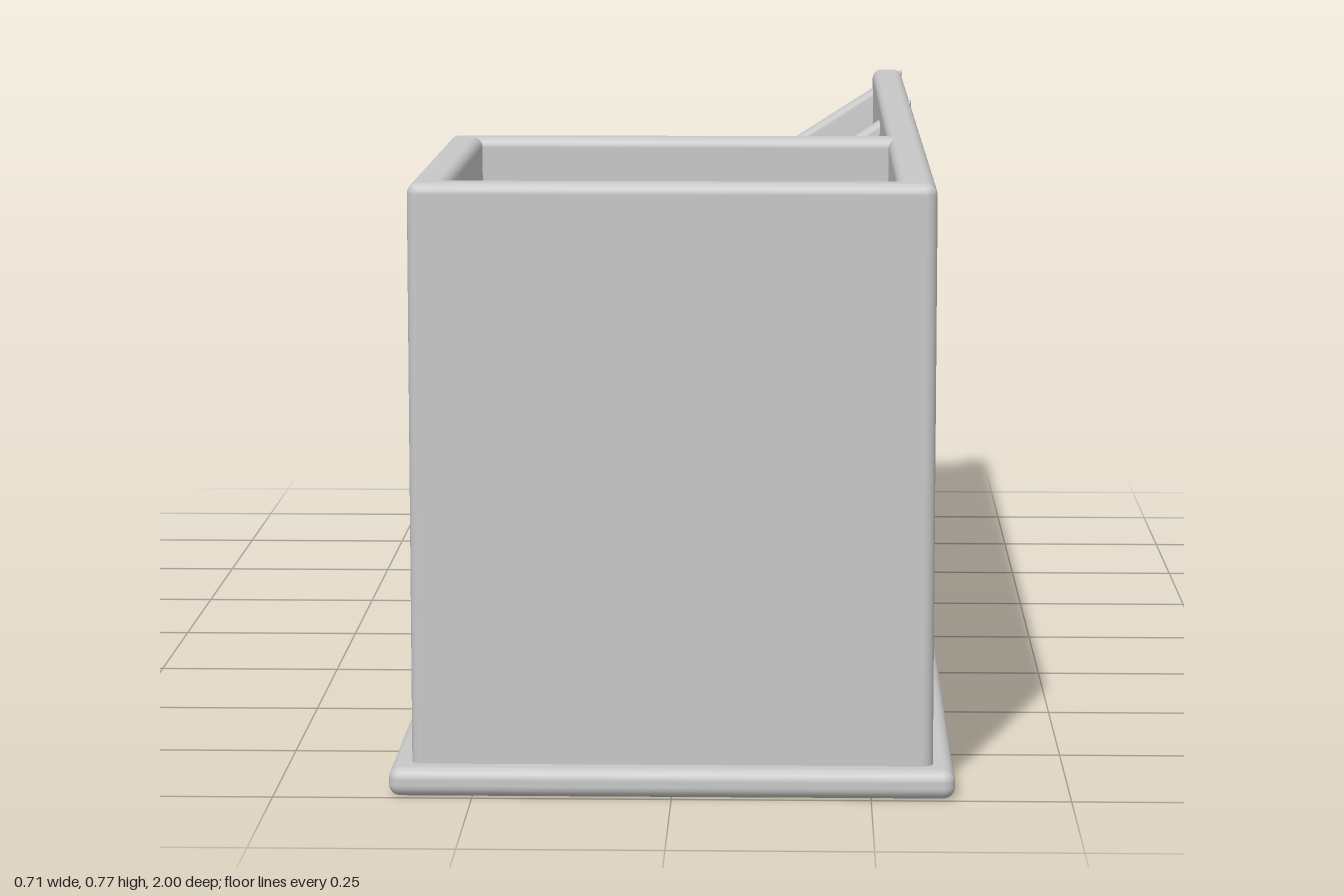
import * as THREE from 'three';
import { toCreasedNormals } from 'three/addons/utils/BufferGeometryUtils.js';
import { RoundedBoxGeometry } from 'three/addons/geometries/RoundedBoxGeometry.js';

const HIGH = 0.77, LOW = 0.35, FLOOR = 0.02;
const HALF_W = 0.328, HALF_L = 0.97, WALL = 0.048, ROUND = 0.014;

export function createModel() {
  const group = new THREE.Group();
  const grey = new THREE.MeshStandardMaterial({ color: 0xc8c8c8 });
  grey.name = 'plain grey';

  const add = (name, geometry) => {
    const mesh = new THREE.Mesh(geometry, grey);
    mesh.name = name;
    group.add(mesh);
    return mesh;
  };

  // Softly rounded board given by its extents on each axis
  const board = (name, [x0, x1], [y0, y1], [z0, z1], r = ROUND) =>
    add(name, new RoundedBoxGeometry(x1 - x0, y1 - y0, z1 - z0, 3, r))
      .position.set((x0 + x1) / 2, (y0 + y1) / 2, (z0 + z1) / 2);

  // Cross wall whose top edge falls from the high side to the low side
  const slopedWall = (name, z0, z1) => {
    const shape = new THREE.Shape([
      new THREE.Vector2(-HALF_W, FLOOR),
      new THREE.Vector2(HALF_W, FLOOR),
      new THREE.Vector2(HALF_W, HIGH),
      new THREE.Vector2(-HALF_W, LOW),
    ]);
    const geometry = new THREE.ExtrudeGeometry(shape, {
      depth: z1 - z0 - 2 * ROUND,
      bevelSize: ROUND, bevelOffset: -ROUND, bevelThickness: ROUND, bevelSegments: 3,
    });
    geometry.translate(0, 0, z0 + ROUND);
    add(name, toCreasedNormals(geometry, 0.6));
  };

  // Base plate and the floor of the compartments
  board('basePlate', [-0.355, 0.355], [0, 0.037], [-1, 1], 0.015);
  board('compartmentFloor', [-0.3, 0.3], [0.01, 0.05], [-0.95, 0.95], 0.004);

  // Long side walls: one full height, the other stepping down behind the front box
  board('leftWall', [HALF_W - WALL, HALF_W], [FLOOR, HIGH], [-HALF_L, HALF_L]);
  board('rightWallLow', [-HALF_W, WALL - HALF_W], [FLOOR, LOW], [-HALF_L, 0.33]);
  board('rightWallHigh', [-HALF_W, WALL - HALF_W], [FLOOR, HIGH], [0.29, HALF_L]);

  // Cross walls of the tall front box
  board('frontWall', [-HALF_W, HALF_W], [FLOOR, HIGH], [HALF_L - WALL, HALF_L]);
  board('frontPartition', [-HALF_W, HALF_W], [FLOOR, HIGH], [0.29, 0.338]);

  // Sloping cross walls at the back
  slopedWall('backPartition', -0.345, -0.3);
  slopedWall('backWall', -HALF_L, WALL - HALF_L);

  // Short lengthwise divider in the middle compartment
  board('middleDivider', [-0.027, 0.015], [FLOOR, 0.43], [-0.32, 0.31], 0.01);

  return group;
}
